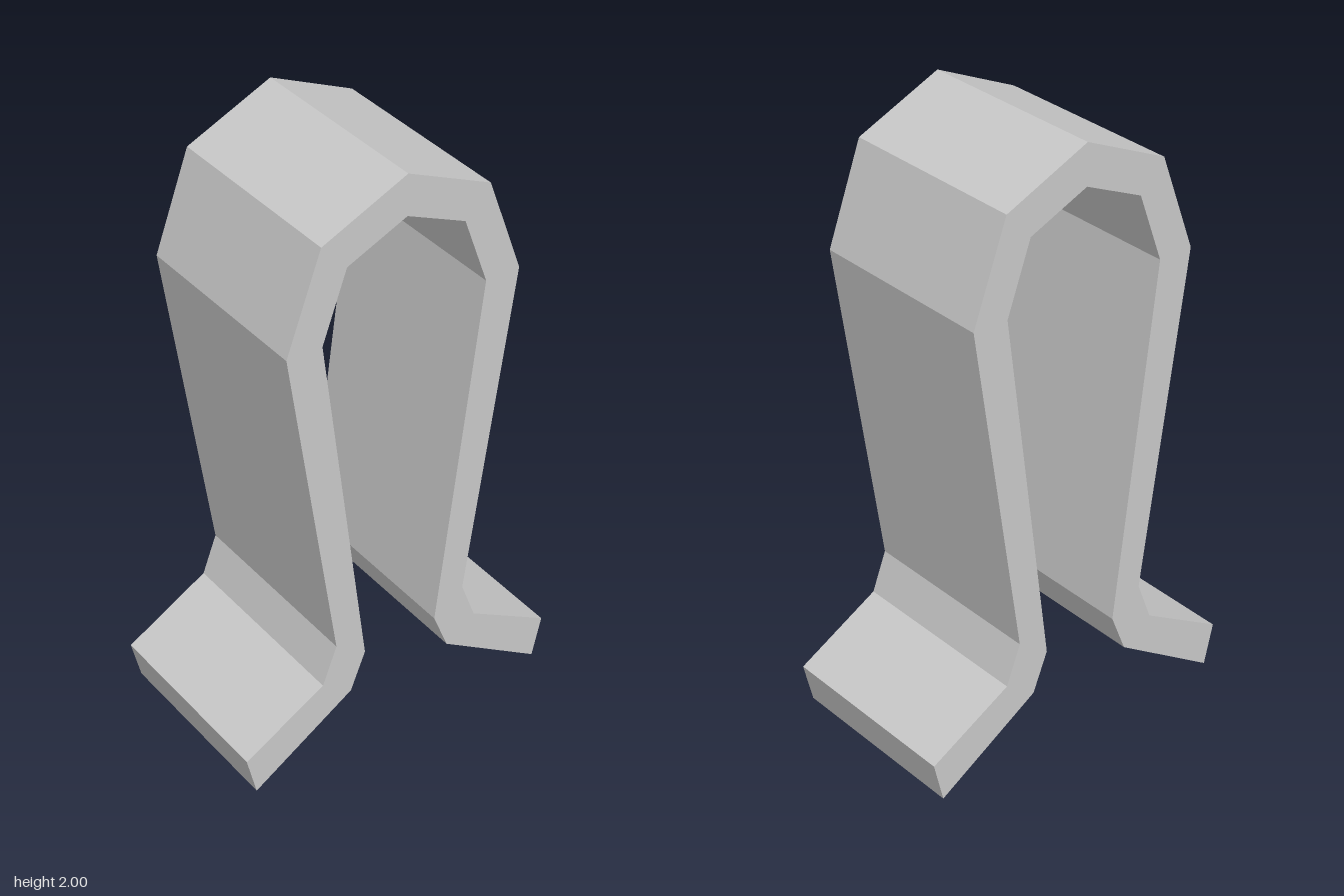
import * as THREE from 'three';

export function createModel() {
  const group = new THREE.Group();
  group.name = 'springClip';
  const metal = new THREE.MeshStandardMaterial({ color: 0xc8c8c8 });
  metal.name = 'light grey metal';

  // Half profile of the bent strip, from the crown down to the flared foot
  const outer = [[0, 2], [0.29, 1.87], [0.408, 1.547], [0.24, 0.43], [0.29, 0.298], [0.573, 0.137]];
  const inner = [[0.54, 0], [0.185, 0.225], [0.133, 0.355], [0.287, 1.545], [0.204, 1.775], [0, 1.865]];
  const half = [...outer, ...inner];

  // Mirror the half to close the strip outline
  const mirrored = half.slice(1, -1).reverse().map(([x, y]) => [-x, y]);
  const outline = [...half, ...mirrored].map(([x, y]) => new THREE.Vector2(x, y));

  const depth = 0.66;
  const geometry = new THREE.ExtrudeGeometry(new THREE.Shape(outline), { depth, bevelEnabled: false });
  geometry.translate(0, 0, -depth / 2);

  const strip = new THREE.Mesh(geometry, metal);
  strip.name = 'bentStrip';
  group.add(strip);
  return group;
}
